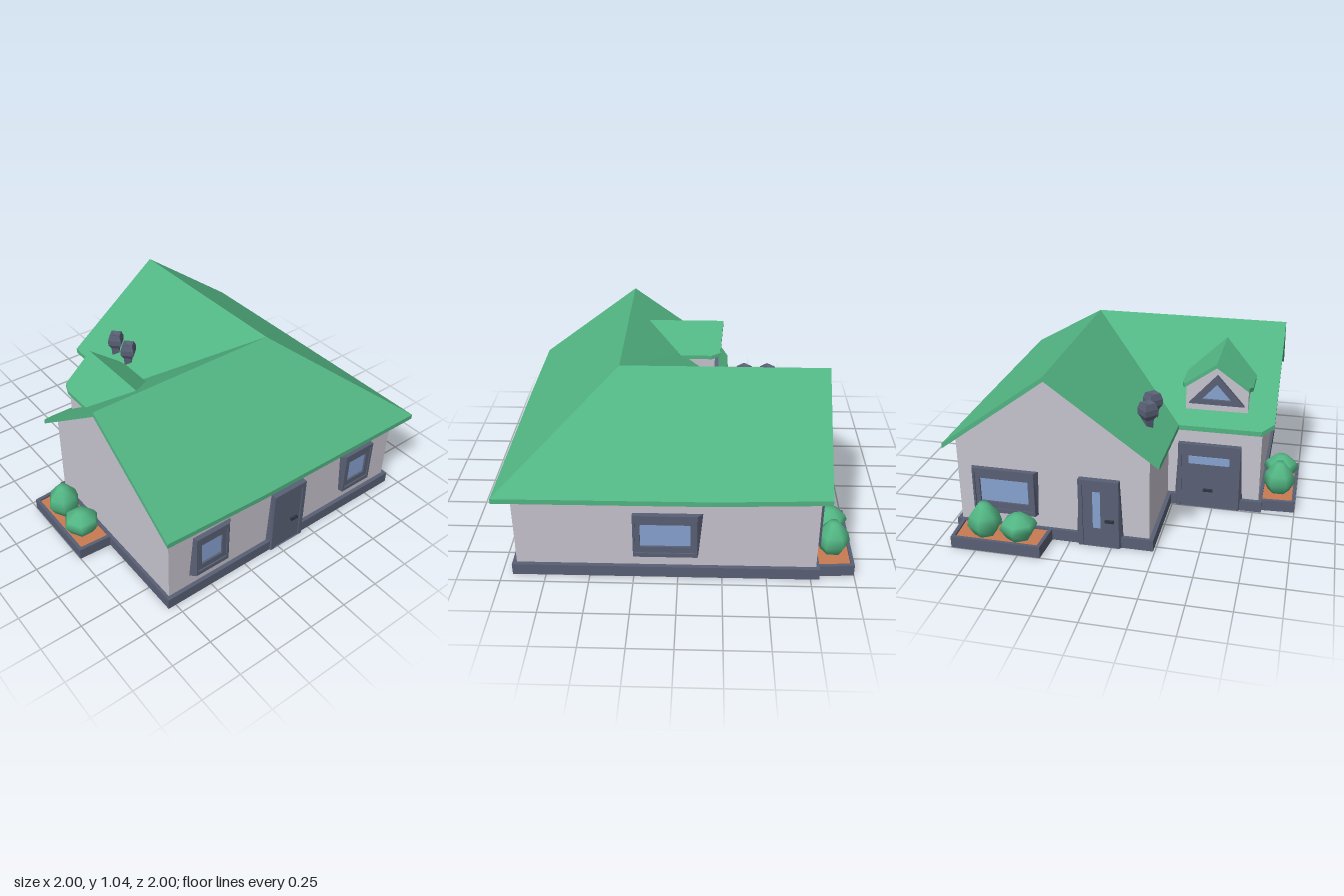
import * as THREE from 'three';

const mat = (name, color) => Object.assign(new THREE.MeshStandardMaterial({ color }), { name });

export function createModel() {
  const green = mat('leaf green', 0x52b583);
  const wall = mat('plaster grey', 0xc6c3cd);
  const slate = mat('slate', 0x596075);
  const glass = mat('window blue', 0x87a2d0);
  const soil = mat('terracotta soil', 0xc87b53);
  const dark = mat('dark metal', 0x30333e);
  const house = new THREE.Group();
  house.name = 'house';

  const add = (name, geo, m, parent = house) => {
    const mesh = new THREE.Mesh(geo, m);
    mesh.name = name;
    parent.add(mesh);
    return mesh;
  };
  const box = (name, m, [w, h, d], [x, y, z], parent) =>
    add(name, new THREE.BoxGeometry(w, h, d).translate(x, y, z), m, parent);
  const shape = pts => new THREE.Shape(pts.map(p => new THREE.Vector2(...p)));

  // Flat faces from polygons, each fanned from its first corner
  const polygons = polys => {
    const v = [];
    for (const p of polys)
      for (let i = 1; i < p.length - 1; i++) v.push(...p[0], ...p[i], ...p[i + 1]);
    const g = new THREE.BufferGeometry();
    g.setAttribute('position', new THREE.Float32BufferAttribute(v, 3));
    g.computeVertexNormals();
    return g;
  };

  // Roof sheet: top faces, matching undersides and a rim
  const slab = (faces, rim, t) => {
    const low = p => [p[0], p[1] - t, p[2]];
    return polygons([
      ...faces,
      ...faces.map(f => f.map(low).reverse()),
      ...rim.map((a, i) => {
        const b = rim[(i + 1) % rim.length];
        return [a, low(a), low(b), b];
      }),
    ]);
  };

  // Upright prism on a footprint of [x, z] points
  const prism = (pts, y0, y1, hole) => {
    const s = shape(pts.map(([x, z]) => [x, -z]));
    if (hole) s.holes.push(shape(hole.map(([x, z]) => [x, -z])));
    return new THREE.ExtrudeGeometry(s, { depth: y1 - y0, bevelEnabled: false })
      .rotateX(-Math.PI / 2).translate(0, y0, 0);
  };
  const ell = (lo, hi, inner) =>
    [[lo, hi], [hi, hi], [hi, lo], [inner, lo], [inner, inner], [lo, inner]];

  // Plinth and L-shaped walls
  add('plinth', prism(ell(-0.8, 0.94, -0.24), 0, 0.07), slate);
  add('walls', prism(ell(-0.78, 0.915, -0.215), 0.05, 0.585), wall);

  // Gable ends
  const gable = () => new THREE.ExtrudeGeometry(
    shape([[-0.565, 0.56], [0.565, 0.56], [0.565, 0.59], [0, 1.015], [-0.565, 0.59]]),
    { depth: 0.02, bevelEnabled: false });
  add('backGable', gable().translate(0.35, 0, -0.78), wall);
  add('leftGable', gable().rotateY(-Math.PI / 2).translate(-0.76, 0, 0.35), wall);

  // Main roof: two ridges meeting at a hip and a valley
  const R = [0.35, 1.04, 0.35], A = [-0.85, 1.04, 0.35], B = [0.35, 1.04, -0.85];
  const H = [1, 0.56, 1], V = [-0.29, 0.568, -0.295];
  const F1 = [-0.83, 0.57, 0.98], F2 = [-0.2, 0.56, 0.995];
  const E1 = [0.995, 0.56, -0.2], E2 = [0.98, 0.57, -0.83];
  const BI = [-0.28, 0.572, -0.83], AI1 = [-0.78, 0.57, -0.295], AI2 = [-0.85, 0.605, -0.25];
  add('mainRoof', slab(
    [[A, F1, F2, H, R], [R, H, E1, E2, B], [R, B, BI, V], [R, V, AI1, AI2, A]],
    [A, F1, F2, H, E1, E2, B, BI, V, AI1, AI2], 0.03), green);

  // Dormer on the rear slope
  const dormer = new THREE.Group();
  dormer.name = 'dormer';
  dormer.position.x = -0.5;
  house.add(dormer);
  const G = [0, 0.955, -0.255], K = [0, 0.955, 0.24];
  const side = s => [[0.19 * s, 0.812, -0.235], [0.21 * s, 0.8, -0.18], [0.21 * s, 0.8, 0.035]];
  const L = side(-1), D = side(1).reverse();
  add('dormerRoof', slab([[G, ...L, K], [G, K, ...D]], [G, ...L, K, ...D], 0.025), green, dormer);
  add('dormerWall', new THREE.ExtrudeGeometry(
    shape([[-0.185, 0.615], [0.185, 0.615], [0.185, 0.79], [0, 0.925], [-0.185, 0.79]]),
    { depth: 0.3, bevelEnabled: false }).translate(0, 0, -0.2), wall, dormer);
  const pane = [[-0.09, 0.715], [0.09, 0.715], [0, 0.815]];
  const tri = shape([[-0.165, 0.685], [0.165, 0.685], [0, 0.87]]);
  tri.holes.push(shape(pane));
  add('dormerFrame', new THREE.ExtrudeGeometry(tri, { depth: 0.025, bevelEnabled: false })
    .translate(0, 0, -0.225), slate, dormer);
  add('dormerGlass', new THREE.ExtrudeGeometry(shape(pane), { depth: 0.008, bevelEnabled: false })
    .translate(0, 0, -0.208), glass, dormer);

  // Stepped rectangular frame; splay widens the wall-side corners (BL, BR, TR, TL)
  const opening = (name, [x0, x1, y0, y1], splay, steps, fill) => {
    const g = new THREE.Group();
    g.name = name;
    const rect = (mx, mb, mt, z) => [[x0 + mx, y0 + mb, z], [x1 - mx, y0 + mb, z],
      [x1 - mx, y1 - mt, z], [x0 + mx, y1 - mt, z]];
    const back = rect(0, 0, 0, 0);
    back.forEach((p, i) => { p[0] += splay[i] * (i === 1 || i === 2 ? 1 : -1); });
    const loops = [back, ...steps.map(s => rect(...s))];
    const quads = [];
    for (let i = 0; i < loops.length - 1; i++)
      for (let j = 0; j < 4; j++) {
        const k = (j + 1) % 4, a = loops[i], b = loops[i + 1];
        quads.push([a[j], a[k], b[k], b[j]]);
      }
    add('frame', polygons(quads), slate, g);
    add('panel', polygons([loops[loops.length - 1]]), fill, g);
    house.add(g);
    return g;
  };
  const windowSteps = [[0, 0, 0, 0.03], [0.013, 0.026, 0.026, 0.03], [0.013, 0.026, 0.026, 0.022],
    [0.04, 0.065, 0.065, 0.022], [0.04, 0.065, 0.065, 0.01]];
  const doorSteps = [[0, 0, 0, 0.036], [0.024, 0, 0.034, 0.036], [0.024, 0, 0.034, 0.027]];
  const place = (g, x, z, turn) => { g.position.set(x, 0, z); g.rotation.y = turn; return g; };

  // Windows
  place(opening('frontWindowRight', [-0.61, -0.385, 0.145, 0.425], [0.03, 0.028, 0.028, 0.005],
    windowSteps, glass), 0, 0.915, 0);
  place(opening('frontWindowLeft', [0.52, 0.745, 0.145, 0.425], [0.005, 0, 0, 0.03],
    windowSteps, glass), 0, 0.915, 0);
  place(opening('sideWindow', [-0.25, 0.11, 0.145, 0.425], [0, 0.005, 0.03, 0],
    windowSteps, glass), 0.915, 0, Math.PI / 2);
  place(opening('backWindow', [-0.82, -0.45, 0.145, 0.425], [0.01, 0.01, 0.02, 0.01],
    windowSteps, glass), 0, -0.78, Math.PI);

  // Doors
  const front = place(opening('frontDoor', [-0.055, 0.185, 0, 0.425], [0.022, 0.024, 0, 0],
    doorSteps, slate), 0, 0.915, 0);
  box('handle', dark, [0.05, 0.015, 0.015], [0.11, 0.172, 0.036], front);
  const rear = place(opening('backDoor', [-0.19, 0.045, 0, 0.425], [0.024, 0.022, 0, 0],
    doorSteps, slate), 0, -0.78, Math.PI);
  box('doorGlass', glass, [0.045, 0.23, 0.006], [-0.085, 0.235, 0.029], rear);
  box('handle', dark, [0.05, 0.015, 0.015], [-0.01, 0.172, 0.036], rear);
  const garage = place(opening('garageDoor', [0.28, 0.66, 0, 0.425], [0.022, 0.022, 0, 0],
    doorSteps, slate), 0, -0.215, Math.PI);
  box('garageGlass', glass, [0.25, 0.05, 0.006], [0.47, 0.32, 0.029], garage);
  box('handle', dark, [0.06, 0.015, 0.015], [0.47, 0.12, 0.034], garage);

  // Planters with a tall and a wide bush
  const bush = (x, r, top) => {
    const p = [[0, 0.05], [0.65, 0.055], [1, 0.12], [0.85, 0.12 + (top - 0.12) * 0.45],
      [0.3, top], [0, top]].map(([a, y]) => new THREE.Vector2(a * r, y));
    return new THREE.LatheGeometry(p, 6).translate(x, 0, 0.89);
  };
  const planter = (name, x, z, turn) => {
    const g = new THREE.Group();
    g.name = name;
    const trap = (o, i, zo, zi) => [[-i, zi], [-o, zo], [o, zo], [i, zi]];
    add('planterRim', prism(trap(0.265, 0.278, 1, 0.77), 0, 0.07,
      trap(0.245, 0.255, 0.98, 0.79)), slate, g);
    add('soil', prism(trap(0.25, 0.26, 0.985, 0.785), 0.002, 0.058), soil, g);
    add('tallBush', bush(-0.097, 0.1, 0.25), green, g);
    add('wideBush', bush(0.107, 0.11, 0.2), green, g);
    house.add(place(g, x, z, turn));
  };
  planter('leftPlanter', 0, 0.067, -Math.PI / 2);
  planter('backPlanter', 0.633, 0, Math.PI);

  // Four-sided chimney pots
  const pot = [[0.028, 0.6], [0.036, 0.7], [0.058, 0.73], [0.06, 0.765], [0.045, 0.8], [0, 0.79]]
    .map(p => new THREE.Vector2(...p));
  for (const z of [-0.53, -0.385]) {
    const g = new THREE.LatheGeometry(pot, 4).toNonIndexed();
    g.computeVertexNormals();
    add('chimneyPot', g.translate(-0.15, 0, z), slate);
  }
  return house;
}
